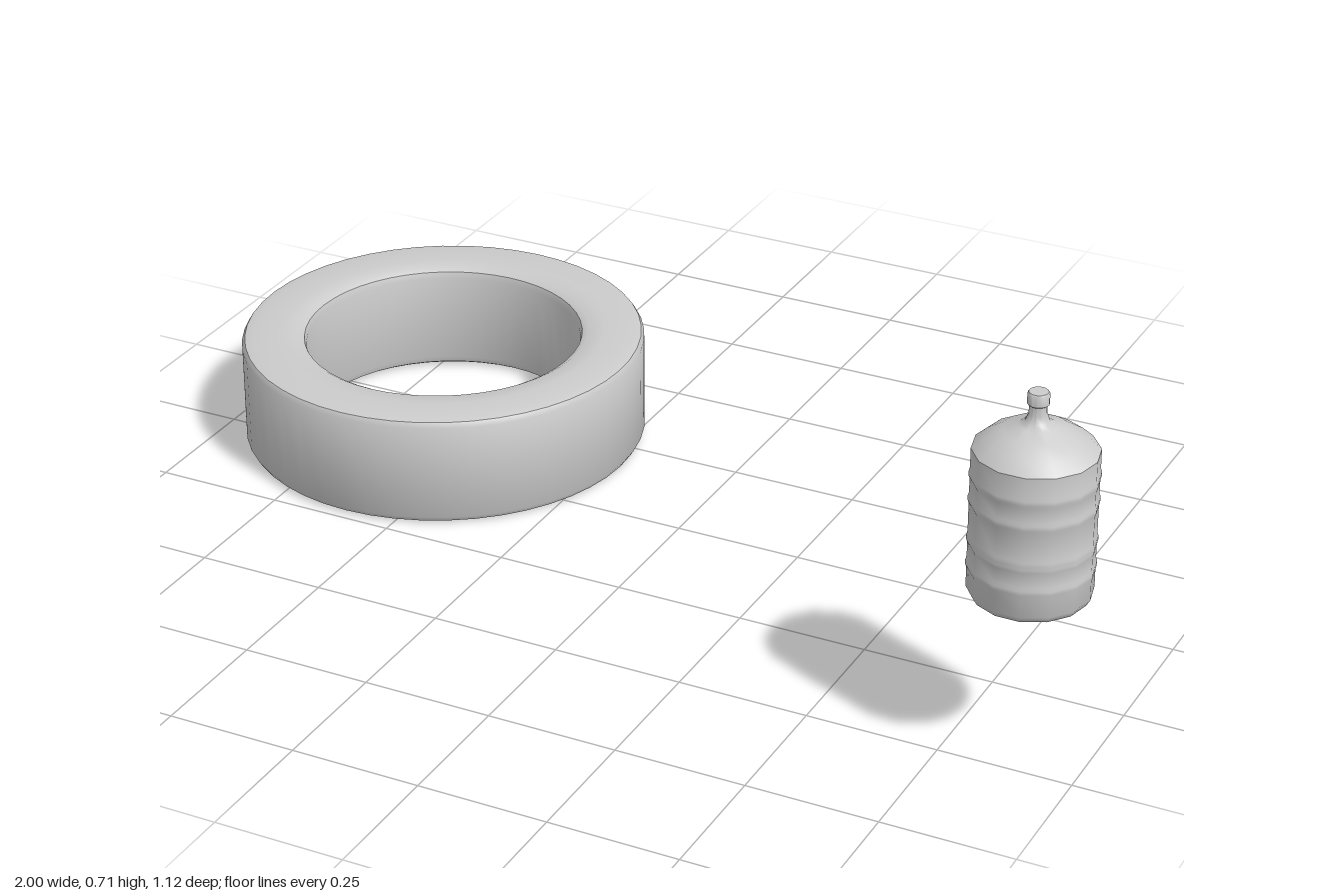
import * as THREE from 'three';
import { toCreasedNormals } from 'three/addons/utils/BufferGeometryUtils.js';

const material = new THREE.MeshStandardMaterial({ color: 0xcccccc });

// Turn a profile of [radius, height] pairs, listed from the bottom up the outside
function turned(name, profile, segments, crease) {
  const points = profile.map(([r, y]) => new THREE.Vector2(r, y));
  const lathe = new THREE.LatheGeometry(points, segments, Math.PI / 2);
  const mesh = new THREE.Mesh(toCreasedNormals(lathe, crease), material);
  mesh.name = name;
  return mesh;
}

export function createModel() {
  const group = new THREE.Group();

  // Thick ring lying flat, with small bevels on every rim
  const ring = turned('tyreRing', [
    [0.271, 0.02], [0.275, 0.008], [0.287, 0.001], [0.32, 0], [0.375, 0],
    [0.392, 0.004], [0.398, 0.014],
    [0.398, 0.206], [0.392, 0.216], [0.375, 0.22],
    [0.32, 0.22], [0.287, 0.219], [0.275, 0.212], [0.271, 0.2], [0.271, 0.02],
  ], 48, 0.7);
  ring.position.set(-0.602, 0, -0.163);
  group.add(ring);

  // Water bottle: rounded base, ribbed wall, domed shoulder, neck and cap
  const profile = [[0, 0.322], [0.09, 0.322], [0.102, 0.328], [0.109, 0.34]];
  for (const y of [0.387, 0.435, 0.51, 0.557]) {
    profile.push([0.109, y - 0.01], [0.111, y - 0.004], [0.111, y + 0.004], [0.109, y + 0.01]);
  }
  profile.push(
    [0.109, 0.604], [0.088, 0.623], [0.06, 0.64], [0.032, 0.65], [0.021, 0.657],
    [0.016, 0.67], [0.015, 0.686], [0.019, 0.689], [0.019, 0.708], [0.017, 0.711], [0, 0.711],
  );
  const bottle = turned('waterBottle', profile, 14, 0.75);
  bottle.position.set(0.889, 0, 0.452);
  group.add(bottle);

  return group;
}
